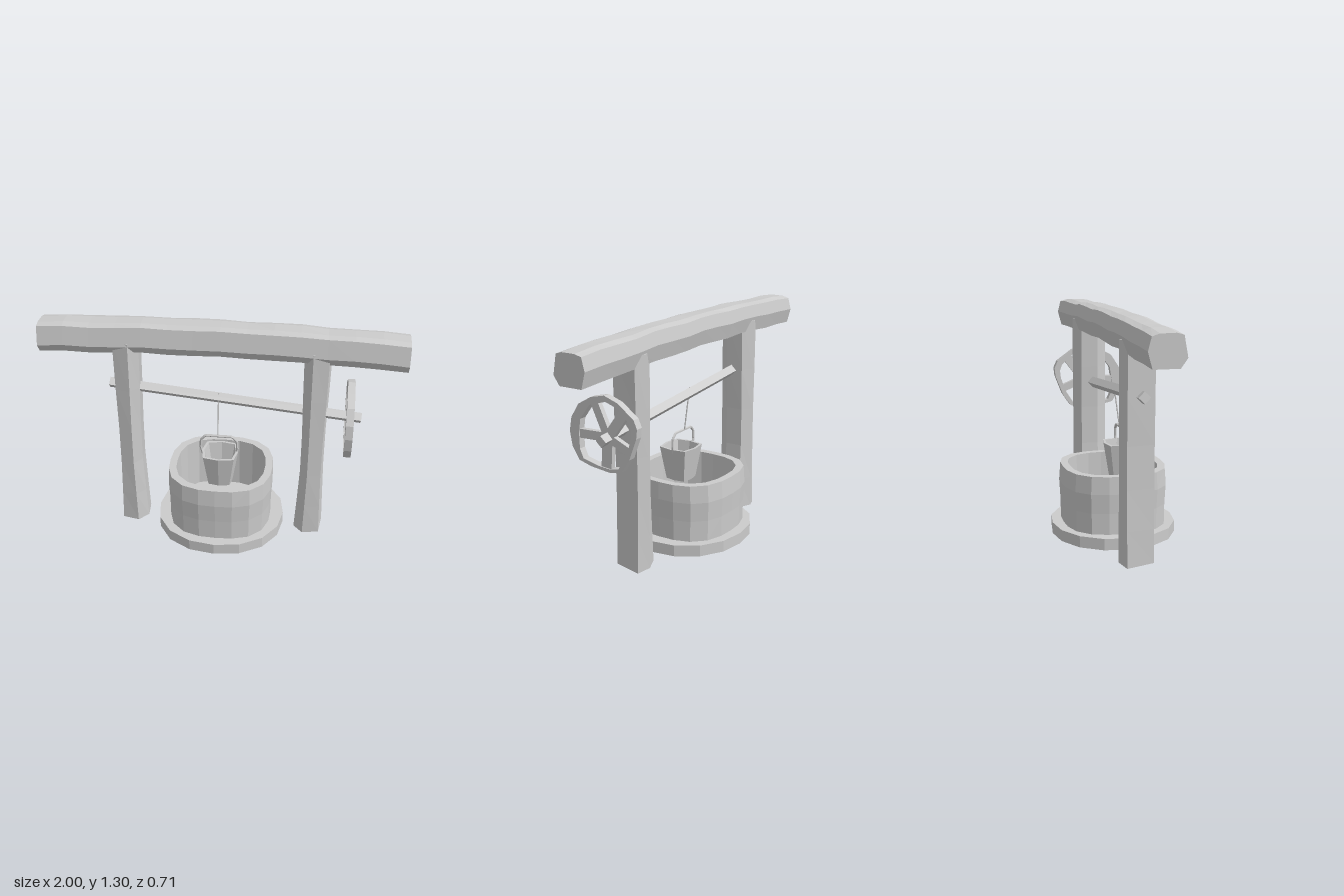
import * as THREE from 'three';

const material = new THREE.MeshStandardMaterial({ color: 0xcccccc, flatShading: true, side: THREE.DoubleSide });

function addMesh(parent, name, geometry) {
  const mesh = new THREE.Mesh(geometry, material);
  mesh.name = name;
  parent.add(mesh);
  return mesh;
}

// Skin a stack of rings (counter-clockwise seen from the last ring) and cap both ends.
function loft(rings) {
  const out = [];
  const tri = (a, b, c) => out.push(...a, ...b, ...c);
  const n = rings[0].length;
  const centre = r => [0, 1, 2].map(k => r.reduce((s, p) => s + p[k], 0) / n);
  const first = rings[0], last = rings[rings.length - 1];
  const c0 = centre(first), c1 = centre(last);
  for (let j = 0; j < n; j++) {
    const k = (j + 1) % n;
    for (let i = 0; i + 1 < rings.length; i++) {
      const a = rings[i], b = rings[i + 1];
      tri(a[j], a[k], b[k]);
      tri(a[j], b[k], b[j]);
    }
    tri(c0, first[k], first[j]);
    tri(c1, last[j], last[k]);
  }
  const g = new THREE.BufferGeometry();
  g.setAttribute('position', new THREE.Float32BufferAttribute(out, 3));
  g.computeVertexNormals();
  return g;
}

// Horizontal ring between a circle (power 2) and a square (higher power).
function roundedRing(y, rx, rz, power, sides, cz = 0) {
  return Array.from({ length: sides }, (_, i) => {
    const t = i / sides * Math.PI * 2, c = Math.cos(t), s = Math.sin(t);
    const r = Math.pow(Math.abs(c) ** power + Math.abs(s) ** power, -1 / power);
    return [rx * r * c, y, cz - rz * r * s];
  });
}

function buildBeam(group) {
  // Section as [z, y], bowed upward along the length with a slight hewn waviness.
  const section = [[0.09, 1.155], [0.055, 1.105], [-0.08, 1.105], [-0.103, 1.19],
    [-0.085, 1.26], [-0.045, 1.272], [0.035, 1.272], [0.07, 1.26]];
  const rings = [];
  for (let i = 0; i <= 14; i++) {
    const x = -1 + i / 7;
    const lift = 0.026 * (1 - x * x) + (Math.abs(x) < 0.95 ? 0.003 * Math.sin(i * 2.1) : 0);
    rings.push(section.map(([z, y], j) => [x, y + lift + 0.002 * Math.sin(i * 1.7 + j), z]));
  }
  addMesh(group, 'crossBeam', loft(rings));
}

function buildPost(group, side) {
  // Irregular six-sided section as [x, z] from the post's axis.
  const section = [[0.08, -0.08], [0.065, 0.07], [-0.03, 0.09], [-0.083, 0.03], [-0.075, -0.07], [0.01, -0.108]];
  // Levels: height, width scale, sideways shift.
  const levels = [[0.012, 1, 0], [0.2, 0.9, 0.002], [0.42, 0.8, 0.004], [0.65, 0.8, 0.004], [0.9, 0.87, 0.004], [1.19, 0.92, 0.004]];
  const rings = levels.map(([y, s, shift], i) => section.map(([x, z], j) => [
    side * (0.523 + shift + x * s),
    y - (i === 0 && j === 0 ? 0.012 : 0),
    z,
  ]));
  // Keep the winding outward on both mirrored posts.
  rings.forEach(r => { if (side > 0) r.reverse(); });
  const ordered = rings.map(r => r.slice().reverse());
  addMesh(group, side > 0 ? 'leftPost' : 'rightPost', loft(ordered));
}

function buildWheel(group) {
  const wheel = new THREE.Group();
  wheel.name = 'crankWheel';
  group.add(wheel);
  // Uneven rim, as [-z, y].
  const outer = [[-0.01, 1.003], [0.075, 0.976], [0.172, 0.907], [0.192, 0.862], [0.186, 0.811], [0.141, 0.694],
    [0.09, 0.619], [0.014, 0.601], [-0.107, 0.612], [-0.186, 0.632], [-0.23, 0.701], [-0.244, 0.78],
    [-0.23, 0.856], [-0.179, 0.935], [-0.096, 0.983]];
  const inner = [[-0.003, 0.972], [0.075, 0.948], [0.144, 0.883], [0.157, 0.845], [0.152, 0.8], [0.125, 0.72],
    [0.07, 0.632], [0.014, 0.62], [-0.06, 0.625], [-0.158, 0.645], [-0.18, 0.694], [-0.182, 0.78],
    [-0.17, 0.856], [-0.107, 0.94]];
  const v = ([x, y]) => new THREE.Vector2(x, y);
  const shape = new THREE.Shape(outer.map(v));
  shape.holes.push(new THREE.Path(inner.map(v)));
  const rim = new THREE.ExtrudeGeometry(shape, { depth: 0.04, bevelEnabled: false });
  rim.rotateY(Math.PI / 2);
  addMesh(wheel, 'wheelRim', rim).position.x = 0.693;

  // Five spokes from the axle: end as [-z, y], then width.
  const hubY = 0.785;
  [[-0.08, 0.955, 0.048], [0.105, 0.925, 0.055], [0.148, 0.725, 0.045], [-0.012, 0.615, 0.065], [-0.19, 0.775, 0.048]]
    .forEach(([u, y, width]) => {
      const dy = y - hubY, length = Math.hypot(u, dy);
      const spoke = new THREE.BoxGeometry(0.028, length, width);
      spoke.translate(0, length / 2, 0);
      spoke.rotateX(Math.atan2(-u, dy));
      addMesh(wheel, 'wheelSpoke', spoke).position.set(0.713, hubY, 0);
    });
}

function buildBucket(group) {
  const bucket = new THREE.Group();
  bucket.name = 'bucket';
  group.add(bucket);
  // Tapered square pail: outside up, over the lip, inside down.
  const levels = [[0.335, 0.072], [0.42, 0.086], [0.53, 0.104], [0.53, 0.09], [0.36, 0.062]];
  addMesh(bucket, 'bucketBody', loft(levels.map(([y, r]) => roundedRing(y, r, r, 4, 8, 0.055))));

  // Bail handle
  const path = new THREE.CurvePath();
  const pts = [[-0.1, 0.5], [-0.113, 0.545], [-0.11, 0.595], [-0.085, 0.622], [0.07, 0.622], [0.095, 0.595], [0.099, 0.545], [0.09, 0.5]]
    .map(([x, y]) => new THREE.Vector3(x, y, 0.045));
  for (let i = 0; i + 1 < pts.length; i++) path.add(new THREE.LineCurve3(pts[i], pts[i + 1]));
  addMesh(bucket, 'bucketHandle', new THREE.TubeGeometry(path, 36, 0.008, 5));

  // Rope from the axle to the handle
  const rope = new THREE.LineCurve3(new THREE.Vector3(-0.015, 0.88, 0.005), new THREE.Vector3(-0.015, 0.622, 0.04));
  addMesh(bucket, 'rope', new THREE.TubeGeometry(rope, 1, 0.004, 5));
}

export function createModel() {
  const group = new THREE.Group();
  group.name = 'waterWell';

  buildBeam(group);
  buildPost(group, 1);
  buildPost(group, -1);

  // Sloping square axle set on edge
  const axle = new THREE.BoxGeometry(1.415, 0.046, 0.046);
  axle.rotateX(Math.PI / 4);
  axle.rotateZ(Math.atan2(-0.13, 1.41));
  addMesh(group, 'axle', axle).position.set(0.075, 0.841, 0);

  // Round plinth
  addMesh(group, 'wellBase', loft([0.015, 0.08].map(y => roundedRing(y, 0.372, 0.354, 2.15, 16))));

  // Hollow well wall with a slight bulge
  const wall = [[0.08, 0.296, 0.29], [0.2, 0.297, 0.292], [0.31, 0.303, 0.298], [0.41, 0.3, 0.29],
    [0.41, 0.258, 0.248], [0.1, 0.258, 0.248]];
  addMesh(group, 'wellWall', loft(wall.map(([y, rx, rz]) => roundedRing(y, rx, rz, 2.7, 20))));

  buildWheel(group);
  buildBucket(group);
  return group;
}
